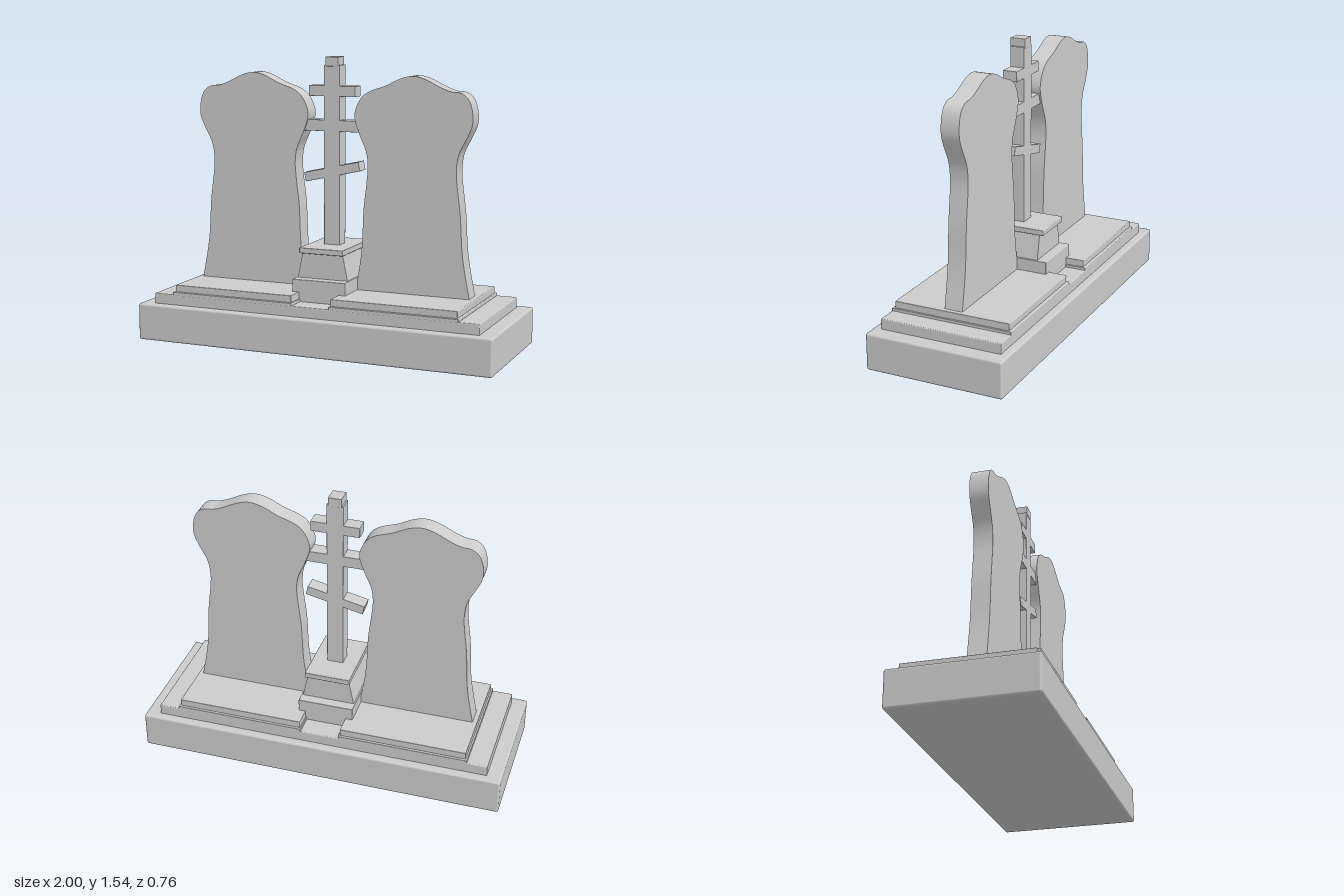
import * as THREE from 'three';
import { toCreasedNormals } from 'three/addons/utils/BufferGeometryUtils.js';
import { RoundedBoxGeometry } from 'three/addons/geometries/RoundedBoxGeometry.js';

const granite = new THREE.MeshStandardMaterial({ color: 0xcccccc });
granite.name = 'greyGranite';

export function createModel() {
  const model = new THREE.Group();
  model.name = 'doubleMemorial';

  const add = (name, geometry, parent = model) => {
    const mesh = new THREE.Mesh(geometry, granite);
    mesh.name = name;
    parent.add(mesh);
    return mesh;
  };

  // Slab spanning x0..x1, y0..y1 and z -hz..hz, with slightly eased edges
  const slab = (name, x0, x1, y0, y1, hz, r = 0.004, parent = model) => {
    const mesh = add(name, new RoundedBoxGeometry(x1 - x0, y1 - y0, hz * 2, 2, r), parent);
    mesh.position.set((x0 + x1) / 2, (y0 + y1) / 2, 0);
    return mesh;
  };

  // Stepped foundation
  slab('base', -1, 1, 0, 0.2, 0.38, 0.012);
  slab('upperStep', -0.92, 0.92, 0.19, 0.256, 0.336, 0.005);

  // Headstone outline, from outer foot over the wavy crown to inner foot
  const outline = [
    [0.775, 0.305], [0.735, 0.525], [0.72, 0.74], [0.7, 0.9], [0.696, 0.98], [0.709, 1.06],
    [0.749, 1.14], [0.778, 1.21], [0.776, 1.285], [0.755, 1.34], [0.715, 1.37],
    [0.663, 1.376], [0.604, 1.397], [0.524, 1.435], [0.455, 1.45], [0.385, 1.435],
    [0.306, 1.397], [0.22, 1.367], [0.17, 1.33], [0.139, 1.27], [0.135, 1.215],
    [0.165, 1.13], [0.199, 1.05], [0.209, 0.97], [0.202, 0.88], [0.186, 0.74],
    [0.178, 0.55], [0.162, 0.42], [0.142, 0.305],
  ];

  // Two mirrored plots, each with a plinth of two plates and a headstone
  for (const side of [1, -1]) {
    const plot = new THREE.Group();
    plot.name = side > 0 ? 'leftPlot' : 'rightPlot';
    model.add(plot);
    const span = (a, b) => (side > 0 ? [a, b] : [-b, -a]);
    slab('lowerPlate', ...span(0.105, 0.81), 0.25, 0.271, 0.336, 0.004, plot);
    slab('upperPlate', ...span(0.112, 0.8), 0.265, 0.308, 0.322, 0.004, plot);

    const curve = new THREE.SplineCurve(outline.map(([x, y]) => new THREE.Vector2(x * side, y)));
    const stone = new THREE.ExtrudeGeometry(new THREE.Shape(curve.getPoints(112)), {
      depth: 0.1, bevelEnabled: false,
    });
    stone.translate(0, 0, -0.05);
    add('headstone', toCreasedNormals(stone, 0.6), plot);
  }

  // Central pedestal with tapering block and cap
  slab('pedestalFoot', -0.152, 0.152, 0.25, 0.375, 0.22);
  const taper = new THREE.BoxGeometry(0.286, 0.14, 0.33);
  const p = taper.attributes.position;
  for (let i = 0; i < p.count; i++) {
    if (p.getY(i) > 0) p.setX(i, p.getX(i) * 0.8);
  }
  taper.computeVertexNormals();
  add('pedestalBlock', taper).position.y = 0.443;
  slab('pedestalCap', -0.125, 0.125, 0.51, 0.54, 0.19);

  // Three-barred cross
  const cross = new THREE.Group();
  cross.name = 'cross';
  model.add(cross);
  slab('post', -0.045, 0.045, 0.53, 1.497, 0.04, 0.002, cross);
  slab('postTop', -0.036, 0.036, 1.49, 1.54, 0.042, 0.002, cross);
  slab('topBar', -0.132, 0.132, 1.332, 1.388, 0.04, 0.002, cross);
  slab('middleBar', -0.19, 0.19, 1.147, 1.207, 0.04, 0.002, cross);
  slab('slantedBar', -0.16, 0.16, 0.907, 0.957, 0.04, 0.002, cross).rotation.z = 0.22;

  return model;
}
